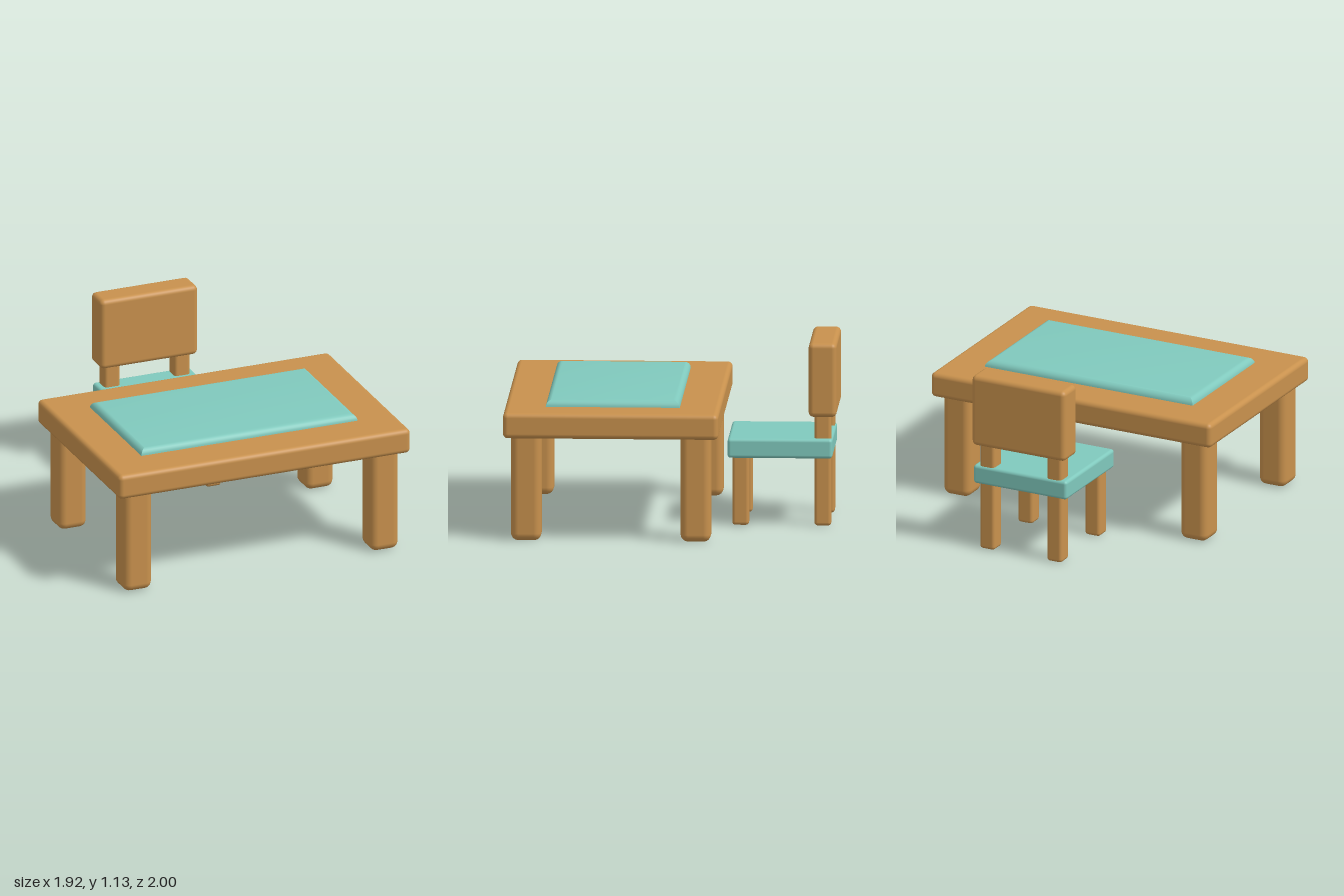
import * as THREE from 'three';
import { RoundedBoxGeometry } from 'three/addons/geometries/RoundedBoxGeometry.js';
import { toCreasedNormals } from 'three/addons/utils/BufferGeometryUtils.js';

const wood = new THREE.MeshStandardMaterial({ color: 0xc8914d });
const teal = new THREE.MeshStandardMaterial({ color: 0x80c9bd });

// Rounded block given by its extents on each axis
function block(name, [x0, x1], [y0, y1], [z0, z1], radius, material) {
  const geometry = new RoundedBoxGeometry(x1 - x0, y1 - y0, z1 - z0, 4, radius);
  const mesh = new THREE.Mesh(geometry, material);
  mesh.position.set((x0 + x1) / 2, (y0 + y1) / 2, (z0 + z1) / 2);
  mesh.name = name;
  return mesh;
}

// Square post centred on (x, z)
function post(name, x, z, half, y0, y1, radius) {
  return block(name, [x - half, x + half], [y0, y1], [z - half, z + half], radius, wood);
}

// Flat slab with a rounded upper edge and mitred corners
function mitredSlab(halfX, halfZ, height) {
  const profile = [];
  for (let i = 0; i <= 6; i++) {
    const a = (i / 6) * Math.PI / 2;
    profile.push(new THREE.Vector2(1 - height * (1 - Math.cos(a)), height * Math.sin(a)));
  }
  profile.push(new THREE.Vector2(0, height));
  const geometry = new THREE.LatheGeometry(profile, 4, Math.PI / 4);
  const p = geometry.attributes.position;
  for (let i = 0; i < p.count; i++) {
    const r = Math.hypot(p.getX(i), p.getZ(i));
    if (r < 1e-6) continue;
    p.setX(i, Math.sign(p.getX(i)) * (halfX - (1 - r)));
    p.setZ(i, Math.sign(p.getZ(i)) * (halfZ - (1 - r)));
  }
  return toCreasedNormals(geometry, 0.5);
}

export function createModel() {
  const model = new THREE.Group();
  model.name = 'deskAndChair';

  // Desk
  const desk = new THREE.Group();
  desk.name = 'desk';
  desk.add(block('deskTop', [-0.96, 0.96], [0.64, 0.797], [-0.31, 1], 0.03, wood));
  const mat = new THREE.Mesh(mitredSlab(0.712, 0.408, 0.043), teal);
  mat.name = 'deskMat';
  mat.position.set(0, 0.795, 0.342);
  desk.add(mat);

  // Chair
  const chair = new THREE.Group();
  chair.name = 'chair';
  chair.add(block('seat', [-0.32, 0.32], [0.42, 0.54], [-0.975, -0.337], 0.02, teal));
  chair.add(block('backrest', [-0.32, 0.32], [0.675, 1.13], [-1, -0.83], 0.03, wood));

  // Legs, mirrored left and right; the rear chair legs carry the backrest
  for (const side of [1, -1]) {
    for (const z of [0.862, -0.17]) {
      desk.add(post('deskLeg', side * 0.812, z, 0.092, 0, 0.7, 0.045));
    }
    chair.add(post('frontLeg', side * 0.23, -0.415, 0.051, 0, 0.47, 0.02));
    chair.add(post('rearLeg', side * 0.23, -0.915, 0.051, 0, 0.75, 0.02));
  }

  model.add(desk, chair);
  return model;
}
